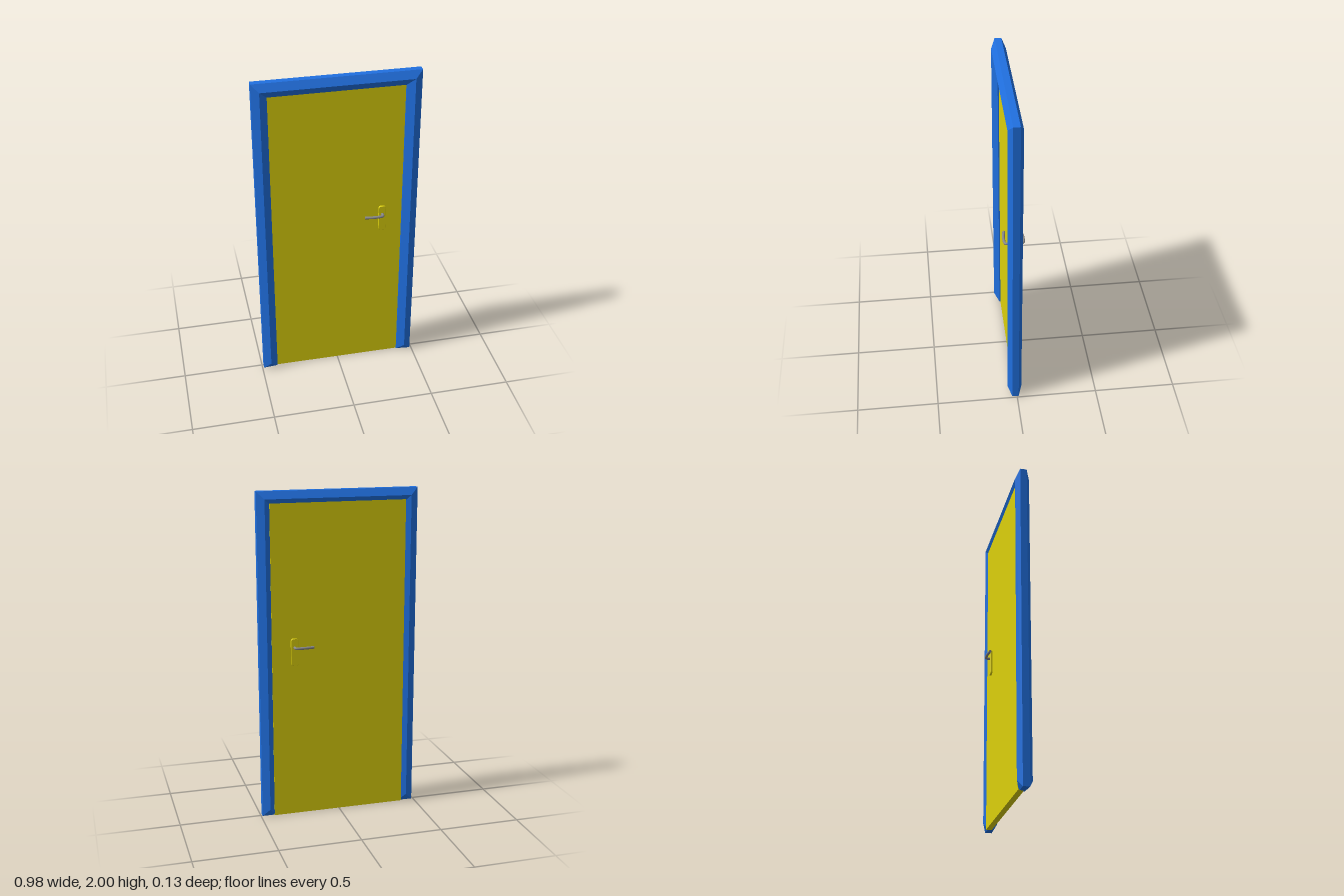
import * as THREE from 'three';

const blue = new THREE.MeshStandardMaterial({ color: 0x2070e0, flatShading: true });
const yellow = new THREE.MeshStandardMaterial({ color: 0xdcd00c });
const grey = new THREE.MeshStandardMaterial({ color: 0x888888 });

const DOOR_Z = -0.0025; // middle plane of the door leaf

function addMesh(parent, name, geometry, material) {
  const mesh = new THREE.Mesh(geometry, material);
  mesh.name = name;
  parent.add(mesh);
  return mesh;
}

// Frame: six-sided profile swept over both jambs and the head, mitred corners, hipped feet
function frameGeometry() {
  // [distance in from the outer edge, z, height of the foot end]
  const profile = [
    [0.09, 0.022, 0], [0.045, 0.055, 0.045], [0, 0.03, 0],
    [0, -0.01, 0], [0.045, -0.032, 0.045], [0.09, -0.01, 0],
  ];
  const stations = [[-1, false], [-1, true], [1, true], [1, false]].map(([side, top]) =>
    profile.map(([d, z, foot]) => [side * (0.49 - d), top ? 2 - d : foot, z]));
  const positions = [];
  const tri = (a, b, c) => positions.push(...a, ...b, ...c);
  for (let s = 0; s < 3; s++) {
    for (let i = 0; i < 6; i++) {
      const j = (i + 1) % 6;
      const [p, q] = [stations[s], stations[s + 1]];
      tri(p[i], q[i], q[j]);
      tri(p[i], q[j], p[j]);
    }
  }
  // foot ends
  for (const [a, b, c] of [[0, 1, 2], [0, 2, 3], [0, 3, 5], [3, 4, 5]]) {
    tri(stations[0][a], stations[0][b], stations[0][c]);
    tri(stations[3][a], stations[3][c], stations[3][b]);
  }
  const geometry = new THREE.BufferGeometry();
  geometry.setAttribute('position', new THREE.Float32BufferAttribute(positions, 3));
  geometry.computeVertexNormals();
  return geometry;
}

// Rounded backing plate, lying on the door face
function plateGeometry() {
  const w = 0.0225, h = 0.083, r = 0.014;
  const shape = new THREE.Shape();
  shape.absarc(w - r, h - r, r, 0, Math.PI / 2);
  shape.absarc(r - w, h - r, r, Math.PI / 2, Math.PI);
  shape.absarc(r - w, r - h, r, Math.PI, Math.PI * 1.5);
  shape.absarc(w - r, r - h, r, Math.PI * 1.5, Math.PI * 2);
  shape.closePath();
  return new THREE.ExtrudeGeometry(shape, {
    depth: 0.01, curveSegments: 6,
    bevelEnabled: true, bevelThickness: 0.002, bevelSize: 0.002, bevelOffset: -0.002, bevelSegments: 1,
  });
}

// Plate and bent lever for one face of the door
function createHandle(name) {
  const handle = new THREE.Group();
  handle.name = name;
  addMesh(handle, 'handlePlate', plateGeometry(), yellow).position.set(0.2775, 1.0425, 0.0175);

  const y = 1.071, radius = 0.0085;
  const path = new THREE.CatmullRomCurve3([
    [0.278, 0.02], [0.278, 0.042], [0.276, 0.052], [0.267, 0.0555],
    [0.222, 0.0575], [0.165, 0.05],
  ].map(([x, z]) => new THREE.Vector3(x, y, z)));
  addMesh(handle, 'lever', new THREE.TubeGeometry(path, 28, radius, 12), grey);

  // flat cap on the free end of the lever
  const cap = addMesh(handle, 'leverTip', new THREE.CircleGeometry(radius, 12), grey);
  cap.position.copy(path.getPoint(1));
  cap.quaternion.setFromUnitVectors(new THREE.Vector3(0, 0, 1), path.getTangent(1));
  return handle;
}

// Mirrors a geometry in z and flips its faces so they still point outwards
function mirrorZ(geometry) {
  const g = geometry.index ? geometry.toNonIndexed() : geometry.clone();
  g.scale(1, 1, -1);
  for (const attribute of Object.values(g.attributes)) {
    const { array, itemSize: n } = attribute;
    for (let i = 0; i < array.length; i += 3 * n) {
      for (let k = 0; k < n; k++) {
        [array[i + n + k], array[i + 2 * n + k]] = [array[i + 2 * n + k], array[i + n + k]];
      }
    }
  }
  return g;
}

export function createModel() {
  const model = new THREE.Group();
  model.name = 'door';

  addMesh(model, 'frame', frameGeometry(), blue);

  // Door leaf
  const leaf = addMesh(model, 'doorLeaf', new THREE.BoxGeometry(0.83, 1.93, 0.035), yellow);
  leaf.position.set(0, 0.965, DOOR_Z);

  // Handles on both faces
  const front = createHandle('frontHandle');
  front.position.z = DOOR_Z;
  const back = createHandle('backHandle');
  back.position.z = DOOR_Z;
  for (const part of back.children) {
    part.updateMatrix();
    part.geometry = mirrorZ(part.geometry.applyMatrix4(part.matrix));
    part.position.set(0, 0, 0);
    part.quaternion.identity();
  }
  model.add(front, back);
  return model;
}
